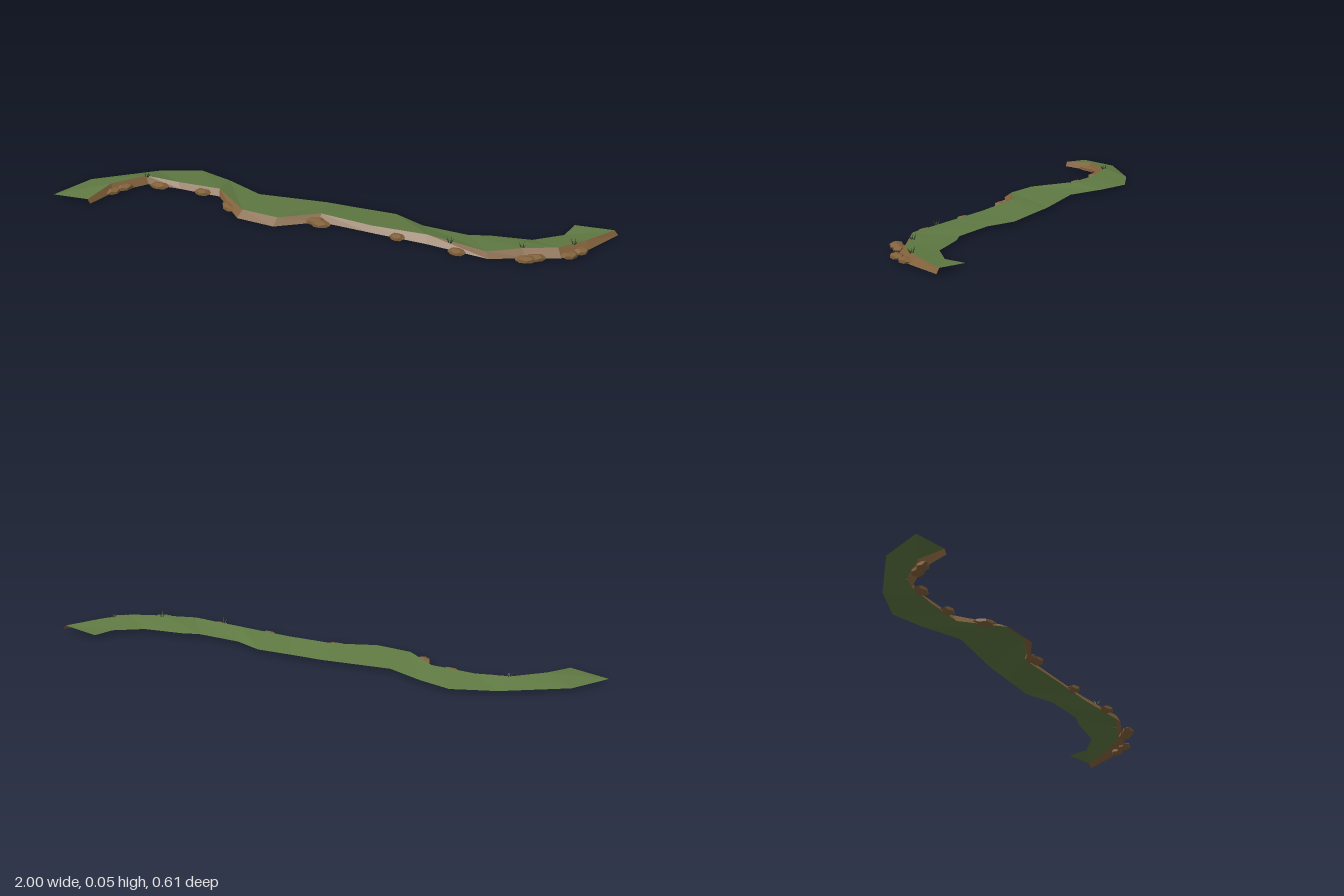
import * as THREE from 'three';

const mat = (name, color, extra = {}) => {
  const m = new THREE.MeshStandardMaterial({ color, flatShading: true, ...extra });
  m.name = name;
  return m;
};

// Cross-sections along the bank: back x, z | crest x, y, z | foot x, z
const sections = [
  [-1.0, 0.307, -0.85, 0.022, 0.307, -0.84, 0.307],
  [-0.94, 0.14, -0.825, 0.034, 0.18, -0.81, 0.19],
  [-0.745, 0.03 - 0.06, -0.74, 0.034, 0.068, -0.725, 0.078],
  [-0.595, -0.105, -0.61, 0.026, 0.048, -0.6, 0.06],
  [-0.46, -0.078, -0.44, 0.03, 0.035, -0.435, 0.05],
  [-0.307, -0.027, -0.29, 0.026, 0.137, -0.295, 0.17],
  [-0.05, -0.078, -0.147, 0.027, 0.137, -0.147, 0.17],
  [0.08, -0.09, -0.013, 0.032, 0.05, -0.008, 0.066],
  [0.22, -0.105, 0.19, 0.027, 0.045, 0.19, 0.06],
  [0.34, -0.067, 0.4, 0.033, 0.03, 0.4, 0.05],
  [0.52, -0.072, 0.63, 0.028, 0.045, 0.64, 0.055],
  [0.58, -0.1, 0.735, 0.034, -0.02, 0.76, -0.01],
  [0.735, -0.137, 0.85, 0.034, -0.08, 0.87, -0.06],
  [0.826, -0.22, 0.92, 0.029, -0.18, 0.94, -0.165],
  [0.837, -0.307, 0.985, 0.022, -0.307, 1.0, -0.307],
];

// Ribbon of quads between two lines of points
function ribbon(a, b) {
  const pos = [];
  for (let i = 0; i < a.length - 1; i++) {
    pos.push(...a[i], ...b[i], ...b[i + 1], ...a[i], ...b[i + 1], ...a[i + 1]);
  }
  const g = new THREE.BufferGeometry();
  g.setAttribute('position', new THREE.Float32BufferAttribute(pos, 3));
  g.computeVertexNormals();
  return g;
}

export function createModel() {
  const group = new THREE.Group();
  group.name = 'riverBank';
  const grass = mat('grass green', 0x607a43, { side: THREE.DoubleSide });
  const earth = mat('earth brown', 0x80603a, { side: THREE.DoubleSide });
  const stone = mat('stone brown', 0x82623c);
  const blade = mat('blade green', 0x34472a, { side: THREE.DoubleSide });
  const add = (parent, name, geometry, material) => {
    const m = new THREE.Mesh(geometry, material);
    m.name = name;
    parent.add(m);
    return m;
  };

  // Sloping turf and the steep earth face below its crest
  const back = sections.map((s) => [s[0], 0.008, s[1]]);
  const crest = sections.map((s) => [s[2], s[3], s[4]]);
  const foot = sections.map((s) => [s[5], 0.005, s[6]]);
  add(group, 'turf', ribbon(back, crest), grass);
  add(group, 'earthFace', ribbon(crest, foot), earth);

  // Flat stones set in the earth face: x, z, half length, turn
  const stones = [
    [-0.81, 0.19, 0.032, 1.15], [-0.785, 0.15, 0.034, 0.95],
    [-0.675, 0.08, 0.036, 0.15], [-0.5, 0.06, 0.032, 0.05],
    [-0.36, 0.115, 0.04, -0.7], [-0.02, 0.08, 0.036, 0.45],
    [0.005, 0.09, 0.036, 0.2], [0.295, 0.062, 0.028, 0],
    [0.525, 0.065, 0.032, 0], [0.765, 0.015, 0.038, 0.4],
    [0.79, -0.015, 0.036, 0.4], [0.895, -0.08, 0.032, 0.8],
    [0.92, -0.13, 0.028, 1.1],
  ];
  const stoneGeometry = new THREE.DodecahedronGeometry(1, 0);
  stones.forEach(([x, z, r, turn], i) => {
    const m = add(group, 'stone', stoneGeometry, stone);
    m.scale.set(r * 1.05, 0.0115, 0.024);
    m.position.set(x, i % 2 ? 0.014 : 0.0115, z);
    m.rotation.y = turn;
  });

  // Tufts of narrow leaning blades on the crest: x, y, z
  const bladeGeometry = new THREE.ConeGeometry(0.0025, 0.024, 3).translate(0, 0.01, 0);
  const tufts = [[-0.735, 0.032, 0.068], [0.49, 0.03, 0.042], [0.735, 0.032, -0.03], [0.89, 0.031, -0.135]];
  for (const [x, y, z] of tufts) {
    const tuft = new THREE.Group();
    tuft.name = 'grassTuft';
    tuft.position.set(x, y, z);
    for (let i = 0; i < 5; i++) {
      const a = i * 2.4;
      const m = add(tuft, 'blade', bladeGeometry, blade);
      m.position.set(Math.cos(a) * 0.005, 0, Math.sin(a) * 0.005);
      m.rotation.set(Math.sin(a) * 0.5, 0, -Math.cos(a) * 0.5);
      m.scale.y = 0.7 + 0.09 * i;
    }
    group.add(tuft);
  }
  return group;
}
